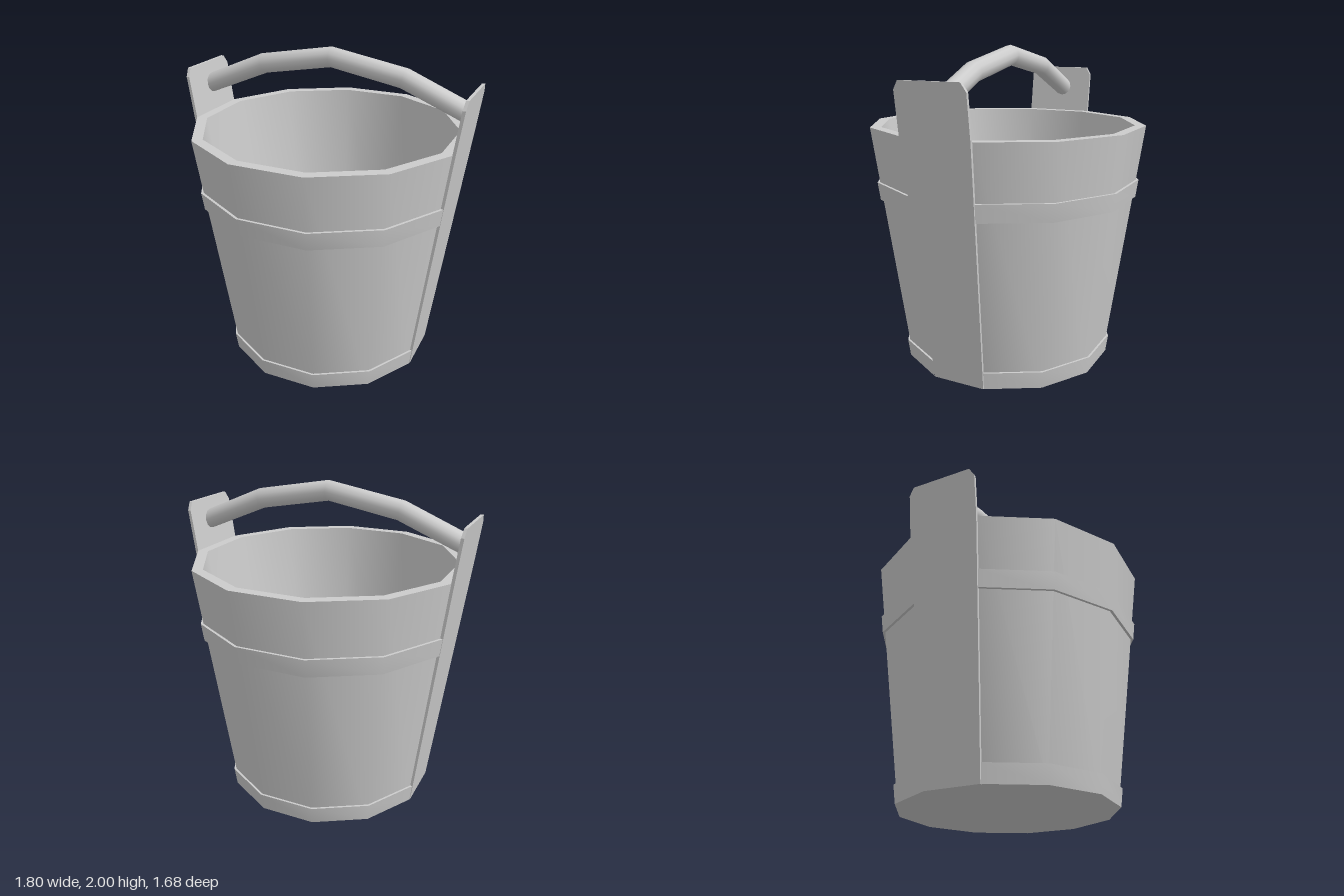
import * as THREE from 'three';
import { toCreasedNormals } from 'three/addons/utils/BufferGeometryUtils.js';

const SIDES = 12;
const STEP = (Math.PI * 2) / SIDES;
const CREASE = 0.6;

// Wall apothem (distance from axis to a flat) at height y
const wall = (y) => 0.637 + 0.1336 * y;

export function createModel() {
  const model = new THREE.Group();
  const material = new THREE.MeshStandardMaterial({ color: 0xcccccc });

  const add = (name, geometry, crease = CREASE) => {
    const mesh = new THREE.Mesh(toCreasedNormals(geometry, crease), material);
    mesh.name = name;
    model.add(mesh);
    return mesh;
  };

  // Twelve-sided lathe; profile given as [apothem, y], flats facing the axes
  const lathe = (profile, segments, start) => new THREE.LatheGeometry(
    profile.map(([a, y]) => new THREE.Vector2(a / Math.cos(STEP / 2), y)),
    segments, start, segments * STEP);

  // Hollow tapered body with a thick rim and an inner floor
  add('bucketBody', lathe([
    [0, 0], [wall(0), 0], [wall(1.52), 1.52], [0.775, 1.52], [0.6, 0.13], [0, 0.13],
  ], SIDES, STEP / 2));

  // Two hoops, each in a front and a back arc that stop at the side planks
  const hoops = { lowerHoop: [0, 0.11, 0.013], upperHoop: [1.07, 1.18, 0.016] };
  for (const [name, [y0, y1, t]] of Object.entries(hoops)) {
    for (const [label, angle] of [['Front', 0], ['Back', Math.PI]]) {
      add(name + label, lathe([
        [wall(y0) - 0.01, y0], [wall(y0) + t, y0], [wall(y1) + t, y1], [wall(y1) - 0.01, y1],
      ], 5, angle - 2.5 * STEP));
    }
  }

  // Leaning side planks that rise above the rim, with clipped top corners
  const half = (y) => wall(y) * Math.tan(STEP / 2);
  const outline = [[half(0), 0], [half(1.52), 1.52], [0.225, 1.78], [0.193, 1.83]];
  const shape = new THREE.Shape([
    ...outline.map(([z, y]) => new THREE.Vector2(z, y)),
    ...outline.slice().reverse().map(([z, y]) => new THREE.Vector2(-z, y)),
  ]);
  for (const [name, turn] of [['leftPlank', 0], ['rightPlank', Math.PI]]) {
    const plank = new THREE.ExtrudeGeometry(shape, { depth: 0.019, bevelEnabled: false });
    plank.rotateY(Math.PI / 2);
    const p = plank.attributes.position;
    for (let i = 0; i < p.count; i++) p.setX(i, p.getX(i) + 0.634 + 0.135 * p.getY(i));
    add(name, plank, 0.3).rotation.y = turn;
  }

  // Arched handle: a rod bent through five mitred stations [x, y, tilt]
  const stations = [
    [-0.868, 1.69, 0.14], [-0.465, 1.857, 0.27], [0, 1.939, 0], [0.465, 1.857, -0.27], [0.868, 1.69, -0.14],
  ];
  const rod = new THREE.CylinderGeometry(0.0625, 0.0625, 4, 12, 4);
  rod.rotateZ(-Math.PI / 2);
  const p = rod.attributes.position;
  for (let i = 0; i < p.count; i++) {
    const [x, y, tilt] = stations[Math.round(p.getX(i)) + 2];
    const r = p.getY(i);
    p.setXYZ(i, x - r * Math.sin(tilt), y + r * Math.cos(tilt), p.getZ(i) - 0.018);
  }
  add('handle', rod);

  return model;
}
